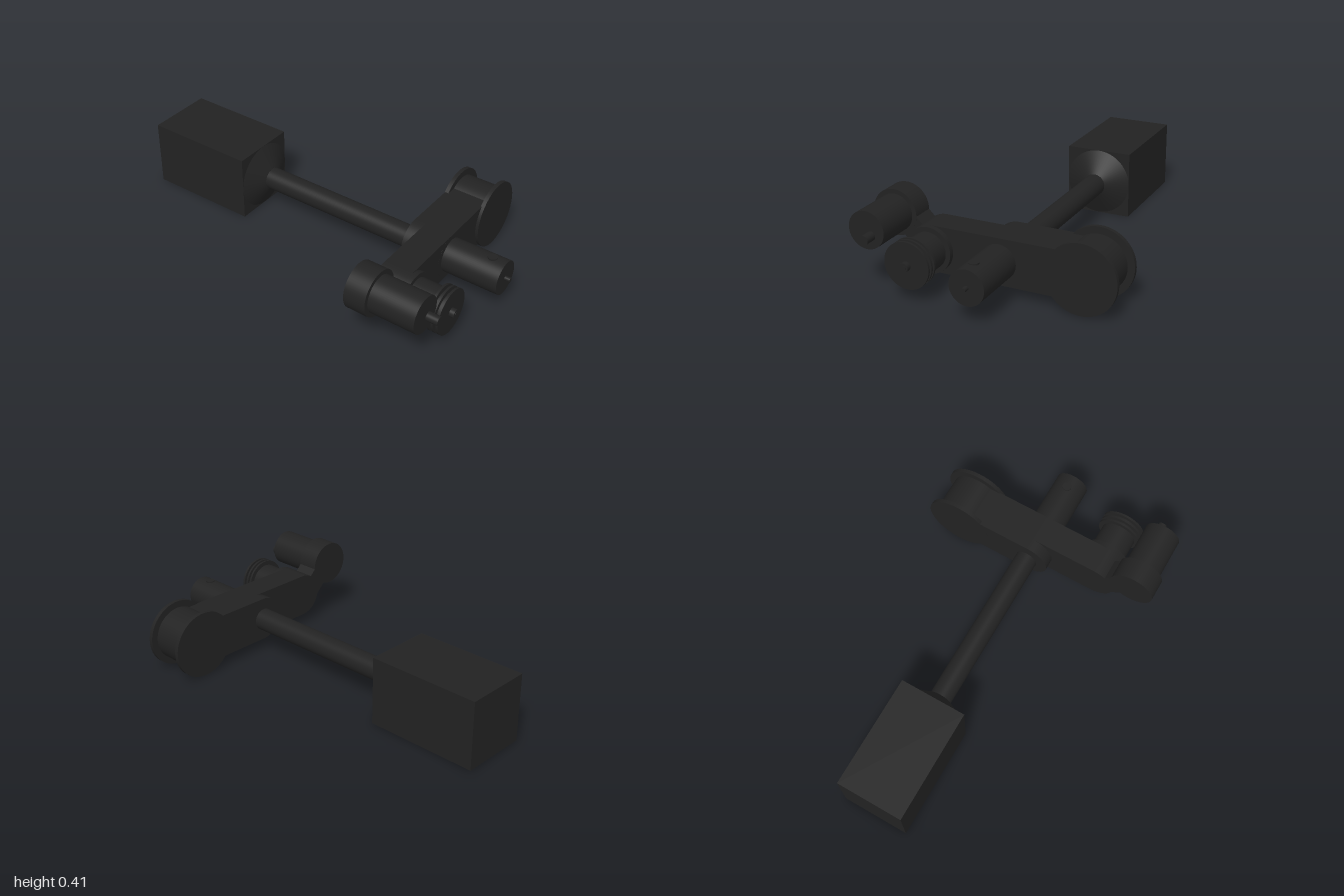
import * as THREE from 'three';

const material = new THREE.MeshStandardMaterial({ color: 0x222222 });

export function createModel() {
  const model = new THREE.Group();
  const axisX = 0.043, axisY = 0.172;

  function add(name, geometry, x = 0, y = 0, z = 0) {
    const mesh = new THREE.Mesh(geometry, material);
    mesh.name = name;
    mesh.position.set(x, y, z);
    model.add(mesh);
    return mesh;
  }

  // Cylinder or cone lying along z, from z0 to z1
  function rod(name, x, y, z0, z1, r0, r1 = r0) {
    const g = new THREE.CylinderGeometry(r1, r0, z1 - z0, 64).rotateX(Math.PI / 2);
    return add(name, g, x, y, (z0 + z1) / 2);
  }

  // Round-ended plate between two x positions
  function plate(name, xa, xb, y, r, z0, z1) {
    const s = new THREE.Shape();
    s.absarc(xb, y, r, -Math.PI / 2, Math.PI / 2, false);
    s.absarc(xa, y, r, Math.PI / 2, Math.PI * 1.5, false);
    s.closePath();
    const g = new THREE.ExtrudeGeometry(s, { depth: z1 - z0, bevelEnabled: false, curveSegments: 32 });
    return add(name, g, 0, 0, z0);
  }

  // Rear block, tapered neck and long shaft
  add('rearBlock', new THREE.BoxGeometry(0.34, 0.343, 0.57), axisX, axisY, -0.715);
  rod('taperedNeck', axisX, axisY, -0.43, -0.375, 0.17, 0.057);
  rod('shaft', axisX, axisY, -0.38, 0.49, 0.056);

  // Cross arm: thick half with the rounded collar, thin half stepped forward
  plate('thickArm', axisX, 0.442, 0.173, 0.113, 0.481, 0.685);
  plate('thinArm', -0.3, axisX, 0.173, 0.113, 0.54, 0.6845);

  // Flanged drum at the arm's left end
  rod('drum', 0.442, 0.172, 0.49, 0.69, 0.136);
  rod('drumBackFlange', 0.442, 0.172, 0.48, 0.5, 0.17);
  rod('drumFrontFlange', 0.442, 0.172, 0.68, 0.7, 0.17);

  // Front spindle on the shaft axis
  rod('spindle', axisX, 0.173, 0.68, 0.972, 0.085);
  rod('spindleTip', axisX, 0.173, 0.97, 1, 0.011);
  add('spindleButton', new THREE.CylinderGeometry(0.023, 0.023, 0.02, 24), axisX, 0.253, 0.9);

  // Ribbed knob at the end of the thin arm
  rod('knob', -0.3, 0.173, 0.68, 0.893, 0.09);
  rod('knobBase', -0.3, 0.173, 0.684, 0.71, 0.113);
  for (const z of [0.834, 0.858, 0.883]) rod('knobRib', -0.3, 0.173, z, z + 0.011, 0.113);
  rod('knobPin', -0.3, 0.173, 0.89, 0.918, 0.022);
  rod('knobPinTip', -0.3, 0.173, 0.915, 0.92, 0.011);

  // Slanted link up to the offset motor
  const link = add('slantedLink', new THREE.BoxGeometry(0.17, 0.117, 0.109), -0.42, 0.24, 0.595);
  link.rotation.z = -Math.PI / 4;

  // Offset motor with an off-centre pin
  rod('motorMount', -0.507, 0.3, 0.54, 0.65, 0.113);
  rod('motorBody', -0.507, 0.3, 0.64, 0.882, 0.091);
  rod('motorPin', -0.483, 0.277, 0.88, 0.94, 0.022);

  return model;
}
